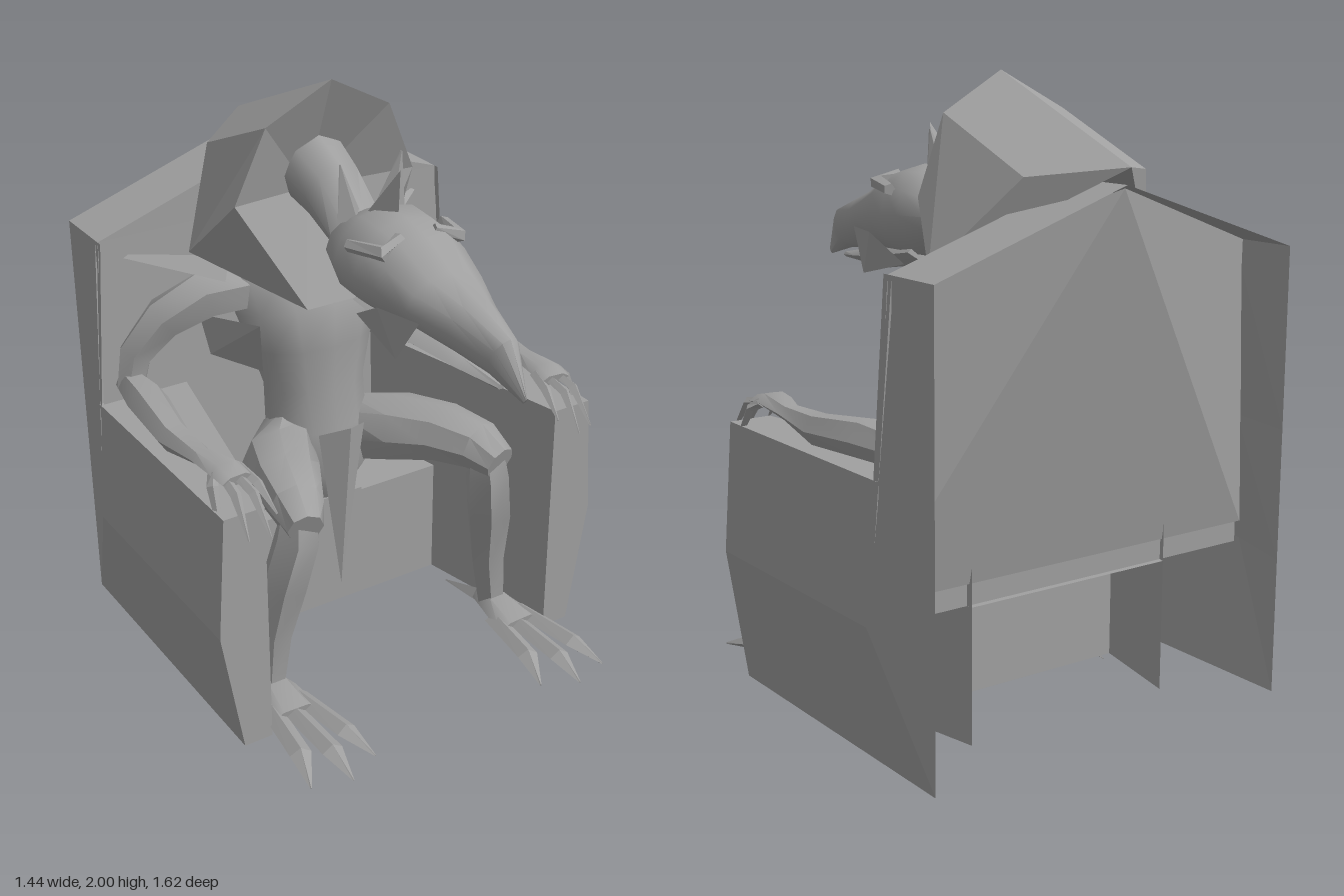
import * as THREE from 'three';
import { toCreasedNormals } from 'three/addons/utils/BufferGeometryUtils.js';

export function createModel() {
  const model = new THREE.Group();
  const stone = new THREE.MeshStandardMaterial({ color: 0xa0a0a0, side: THREE.DoubleSide });
  stone.name = 'grey stone';

  function add(name, tris, crease = 0.1) {
    const g = new THREE.BufferGeometry();
    g.setAttribute('position', new THREE.Float32BufferAttribute(tris.flat(), 3));
    g.computeVertexNormals();
    const mesh = new THREE.Mesh(crease > 0.2 ? toCreasedNormals(g, crease) : g, stone);
    mesh.name = name;
    model.add(mesh);
  }

  // Flat polygons, each a fan of corner points
  function plates(name, polys) {
    const tris = [];
    for (const p of polys)
      for (let i = 1; i < p.length - 1; i++) tris.push(p[0], p[i], p[i + 1]);
    add(name, tris);
  }

  // Loft along points [x, y, z, halfWidth, halfHeight]
  function loft(name, pts, { sides = 8, up = [0, 1, 0], crease = 0.75, turn = 0 } = {}) {
    const at = i => new THREE.Vector3(...pts[i].slice(0, 3));
    const last = pts.length - 1;
    const rings = pts.map((p, i) => {
      const t = at(Math.min(i + 1, last)).sub(at(Math.max(i - 1, 0))).normalize();
      const s = new THREE.Vector3(...up).cross(t).normalize();
      const v = t.clone().cross(s);
      return Array.from({ length: sides }, (_, j) => {
        const a = (j / sides) * Math.PI * 2 + turn;
        return at(i).addScaledVector(s, Math.cos(a) * p[3]).addScaledVector(v, Math.sin(a) * p[4]).toArray();
      });
    });
    const tris = [];
    for (let j = 0; j < sides; j++) {
      const k = (j + 1) % sides;
      for (let i = 0; i < last; i++) {
        const [a, b, c, d] = [rings[i][j], rings[i][k], rings[i + 1][k], rings[i + 1][j]];
        tris.push(a, b, c, a, c, d);
      }
      tris.push(at(0).toArray(), rings[0][k], rings[0][j]);
      tris.push(at(last).toArray(), rings[last][j], rings[last][k]);
    }
    add(name, tris, crease);
  }

  const spike = (name, base, tip, w, h) =>
    loft(name, [[...base, w, h], [...tip, 0.003, 0.003]], { sides: 4, crease: 0 });

  // Throne back, seat and the hanging cloth
  const Z = -0.57, B = -0.79;
  plates('throneBackFront', [[[-0.65, 1.48, Z], [-0.7, 0.48, -0.55], [0.7, 0.48, -0.55], [0.65, 1.48, Z], [0, 1.7, Z]]]);
  plates('throneBackRear', [
    [[0, 1.69, -0.78], [0.65, 1.48, -0.59], [0.71, 0.55, -0.56]],
    [[0, 1.69, -0.78], [0.71, 0.55, -0.56], [-0.71, 0.55, -0.56]],
    [[0, 1.69, -0.78], [-0.71, 0.55, -0.56], [-0.65, 1.48, -0.59]],
  ]);
  plates('seat', [
    [[-0.44, 0.48, -0.24], [0.44, 0.48, -0.24], [0.37, 0.48, Z], [-0.37, 0.48, Z]],
    [[-0.44, 0.05, -0.24], [0.44, 0.05, -0.24], [0.44, 0.48, -0.24], [-0.44, 0.48, -0.24]],
  ]);
  plates('seatCloth', [[[-0.1, 0.165, -0.225], [0.1, 0.165, -0.225], [0.12, 0.5, -0.225], [-0.12, 0.5, -0.225]]]);
  plates('loincloth', [
    [[0, 0.17, -0.17], [0, 0.83, -0.1], [-0.09, 0.8, -0.16]],
    [[0, 0.17, -0.17], [0.09, 0.8, -0.16], [0, 0.83, -0.1]],
  ]);

  // Torso
  loft('torso', [
    [0, 0.5, -0.34, 0.13, 0.1], [0, 0.62, -0.33, 0.2, 0.16], [0, 0.78, -0.33, 0.18, 0.15],
    [0, 0.92, -0.34, 0.18, 0.14], [0, 1.07, -0.36, 0.22, 0.17], [0, 1.2, -0.38, 0.26, 0.19],
    [0, 1.32, -0.42, 0.27, 0.15], [0, 1.45, -0.44, 0.14, 0.1],
  ], { sides: 12, up: [0, 0, 1], crease: 1.1 });

  // Neck and head
  loft('neck', [
    [0, 1.72, -0.42, 0.13, 0.13], [0, 1.64, -0.2, 0.1, 0.11], [0, 1.55, -0.05, 0.1, 0.07], [0, 1.53, 0.06, 0.12, 0.09],
  ], { crease: 0.9 });
  loft('head', [
    [0, 1.54, -0.06, 0.08, 0.06], [0, 1.545, 0, 0.15, 0.1], [0, 1.545, 0.1, 0.185, 0.15],
    [0, 1.535, 0.2, 0.18, 0.155], [0, 1.525, 0.3, 0.165, 0.14], [0, 1.5, 0.42, 0.14, 0.1],
    [0, 1.47, 0.55, 0.09, 0.09], [0, 1.435, 0.7, 0.05, 0.075], [0, 1.34, 0.81, 0.004, 0.012],
  ], { sides: 12, crease: 0.8 });
  loft('lowerJaw', [
    [0, 1.42, 0.12, 0.13, 0.05], [0, 1.38, 0.36, 0.11, 0.05], [0, 1.355, 0.55, 0.06, 0.025], [0, 1.34, 0.7, 0.015, 0.01],
  ], { sides: 6 });
  plates('crest', [
    [[0, 1.825, 0.18], [-0.055, 1.68, 0.09], [0, 1.66, 0.17]],
    [[0, 1.825, 0.18], [0, 1.66, 0.17], [0.055, 1.68, 0.09]],
    [[0, 1.825, 0.18], [0.055, 1.68, 0.09], [-0.055, 1.68, 0.09]],
  ]);

  for (const s of [1, -1]) {
    const m = p => [s * p[0], ...p.slice(1)];
    const mm = list => list.map(m);
    const side = s > 0 ? 'left' : 'right';

    // Throne side: roof, bulging outer wall, armrest
    const back = y => m([0.65, y, B]);
    const wall = [[0.65, 0.05], [0.72, 0.49], [0.69, 0.91], [0.65, 1.48]];
    const polys = [[m([0, 1.7, B]), m([0, 1.7, Z]), m([0.65, 1.48, Z]), back(1.48)]];
    for (let i = 0; i < 3; i++) {
      const [x0, y0] = wall[i], [x1, y1] = wall[i + 1];
      polys.push([back(y0), back(y1), m([x1, y1, -0.55]), m([x0, y0, -0.55])]);
      if (i < 2) polys.push([m([x0, y0, -0.55]), m([x1, y1, -0.55]), m([x1, y1, 0.29]), m([x0, y0, 0.29])]);
    }
    polys.push(mm([[0.55, 0.05, 0.29], [0.65, 0.05, 0.29], [0.72, 0.49, 0.29], [0.69, 0.91, 0.29], [0.55, 0.91, 0.29]]));
    polys.push(mm([[0.55, 0.91, 0.29], [0.69, 0.91, 0.29], [0.69, 0.91, Z], [0.37, 0.91, Z]]));
    polys.push(mm([[0.55, 0.05, 0.29], [0.55, 0.91, 0.29], [0.37, 0.91, Z], [0.37, 0.05, Z]]));
    plates(side + 'ThroneSide', polys);

    // Hood half: outer shell, underside and concave front
    const [A, Bv, C, D, E, F, G, N, O] = mm([
      [0, 2, -0.2], [0.225, 1.88, -0.22], [0.33, 1.64, -0.24], [0.1, 1.25, -0.2], [0.41, 1.45, -0.41],
      [0.225, 1.72, -0.61], [0, 1.75, -0.805], [0, 1.6, -0.36], [0, 1.25, -0.2]]);
    plates(side + 'Hood', [[A, Bv, F, G], [Bv, C, E, F], [C, D, E], [E, F, G, N], [D, E, N],
      [A, Bv, N], [Bv, C, N], [C, D, N], [D, O, N]]);

    // Horn, brow and cheek
    spike(side + 'Horn', m([0.075, 1.64, 0.01]), m([0.11, 1.815, 0.02]), 0.035, 0.05);
    loft(side + 'Brow', mm([[0.06, 1.66, 0.27, 0.02, 0.015], [0.13, 1.63, 0.29, 0.03, 0.025], [0.17, 1.62, 0.16, 0.02, 0.02]]),
      { sides: 5, crease: 0 });
    plates(side + 'Cheek', [
      mm([[0.16, 1.47, 0.3], [0.14, 1.325, 0.37], [0.12, 1.47, 0.46]]),
      mm([[0.16, 1.47, 0.3], [0.13, 1.38, 0.14], [0.14, 1.325, 0.37]])]);

    // Shoulder spike and side fin
    plates(side + 'ShoulderSpike', [
      mm([[0.26, 1.4, -0.42], [0.61, 1.42, -0.6], [0.3, 1.33, -0.38]]),
      mm([[0.26, 1.4, -0.42], [0.61, 1.42, -0.6], [0.3, 1.36, -0.55]]),
      mm([[0.3, 1.33, -0.38], [0.61, 1.42, -0.6], [0.3, 1.36, -0.55]])]);
    plates(side + 'SideFin', [
      mm([[0.25, 1.21, -0.25], [0.36, 1.2, -0.46], [0.34, 1.06, -0.43]]),
      mm([[0.25, 1.21, -0.25], [0.34, 1.06, -0.43], [0.2, 1.0, -0.33]])]);

    // Arm
    loft(side + 'UpperArm', mm([
      [0.2, 1.28, -0.42, 0.08, 0.1], [0.34, 1.27, -0.45, 0.085, 0.09], [0.47, 1.2, -0.5, 0.07, 0.08],
      [0.56, 1.08, -0.54, 0.06, 0.06], [0.59, 0.96, -0.53, 0.05, 0.04]]), { sides: 6, up: [0, 0, 1] });
    loft(side + 'Forearm', mm([
      [0.585, 0.97, -0.58, 0.04, 0.05], [0.6, 0.98, -0.38, 0.07, 0.06], [0.625, 0.965, -0.15, 0.055, 0.05],
      [0.62, 0.98, 0.03, 0.04, 0.025], [0.605, 0.995, 0.16, 0.06, 0.025], [0.6, 0.985, 0.22, 0.055, 0.02]]), { sides: 6 });
    for (const [x0, x1, y, z] of [[0.56, 0.53, 0.9, 0.33], [0.59, 0.58, 0.86, 0.38], [0.625, 0.645, 0.86, 0.36], [0.65, 0.69, 0.81, 0.28]])
      loft(side + 'Finger', mm([[x0, 0.99, 0.16, 0.018, 0.016], [(x0 + x1) / 2, 0.97, z - 0.09, 0.018, 0.016], [x1, y, z, 0.003, 0.003]]),
        { sides: 4, crease: 0 });

    // Leg
    loft(side + 'Thigh', mm([
      [0.13, 0.7, -0.32, 0.1, 0.13], [0.24, 0.74, -0.16, 0.13, 0.12], [0.31, 0.77, 0.0, 0.115, 0.1],
      [0.355, 0.77, 0.14, 0.09, 0.085], [0.375, 0.74, 0.23, 0.06, 0.06]]), { sides: 8 });
    loft(side + 'Shin', mm([
      [0.36, 0.8, 0.17, 0.06, 0.05], [0.37, 0.68, 0.17, 0.075, 0.08], [0.405, 0.5, 0.14, 0.08, 0.08],
      [0.43, 0.3, 0.11, 0.065, 0.06], [0.45, 0.1, 0.11, 0.05, 0.05]]), { sides: 6, up: [0, 0, 1] });

    // Foot with three toes and a heel claw
    loft(side + 'Foot', mm([[0.45, 0.09, 0.06, 0.04, 0.035], [0.45, 0.1, 0.15, 0.065, 0.04], [0.455, 0.085, 0.28, 0.09, 0.03]]),
      { sides: 6 });
    for (const [x0, x1, z] of [[0.4, 0.33, 0.56], [0.455, 0.45, 0.62], [0.51, 0.58, 0.58]])
      loft(side + 'Toe', mm([[x0, 0.085, 0.2, 0.035, 0.025], [(x0 + x1) / 2, 0.09, z - 0.12, 0.036, 0.025], [x1, 0.055, z, 0.003, 0.003]]),
        { sides: 4, crease: 0 });
    spike(side + 'HeelClaw', m([0.45, 0.08, 0.07]), m([0.465, 0.005, -0.18]), 0.035, 0.03);
  }
  return model;
}
